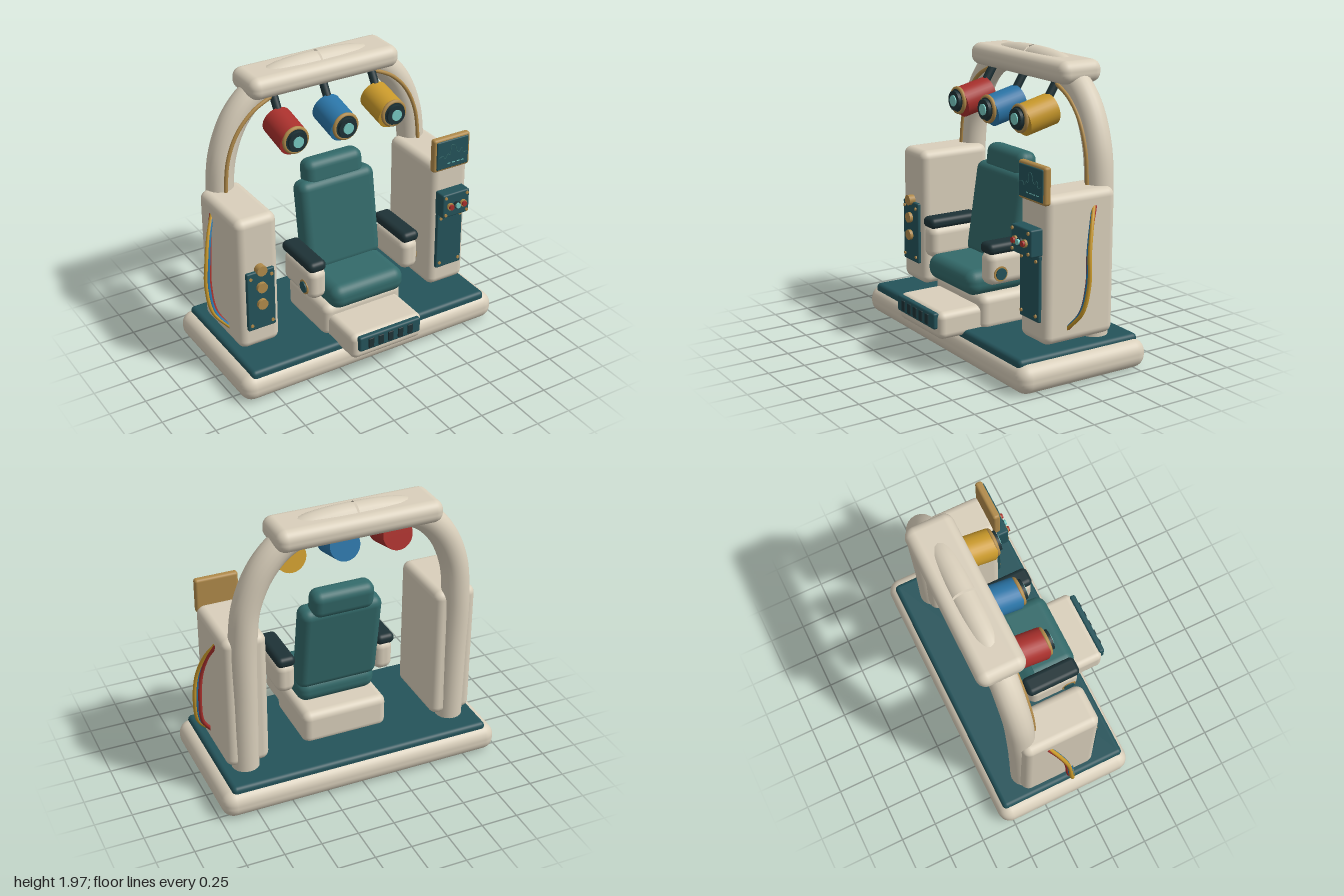
import * as THREE from 'three';
import { RoundedBoxGeometry } from 'three/addons/geometries/RoundedBoxGeometry.js';

const mat = (color, side = THREE.FrontSide) => new THREE.MeshStandardMaterial({ color, side });
const M = {
  cream: mat(0xd9cfbb), creamTube: mat(0xd9cfbb, THREE.DoubleSide),
  teal: mat(0x336a6a), deep: mat(0x24535a), dark: mat(0x1e3236), gold: mat(0xb08a4a),
  red: mat(0xa8302c), blue: mat(0x2a74a6), yellow: mat(0xc8982a), glow: mat(0x76c8c0),
};
const V = (x, y, z) => new THREE.Vector3(x, y, z);

export function createModel() {
  const root = new THREE.Group();

  const add = (name, geo, material, x = 0, y = 0, z = 0, parent = root) => {
    const mesh = new THREE.Mesh(geo, material);
    mesh.name = name;
    mesh.position.set(x, y, z);
    parent.add(mesh);
    return mesh;
  };
  // Rounded box from its extents [min, max] on each axis
  const block = (name, m, [x0, x1], [y0, y1], [z0, z1], r, parent = root) =>
    add(name, new RoundedBoxGeometry(x1 - x0, y1 - y0, z1 - z0, 4, r), m,
      (x0 + x1) / 2, (y0 + y1) / 2, (z0 + z1) / 2, parent);
  // Disc or barrel facing +z
  const disc = (name, m, r, depth, x, y, z, parent = root) =>
    add(name, new THREE.CylinderGeometry(r, r, depth, 32).rotateX(Math.PI / 2), m, x, y, z, parent);
  const ring = (name, m, r, tube, x, y, z, parent = root) =>
    add(name, new THREE.TorusGeometry(r, tube, 12, 40), m, x, y, z, parent);
  const tube = (name, m, points, r, segments = 48, parent = root) =>
    add(name, new THREE.TubeGeometry(new THREE.CatmullRomCurve3(points), segments, r, 20), m, 0, 0, 0, parent);
  const screws = (xs, ys, z) => {
    for (const x of xs) for (const y of ys) disc('screw', M.gold, 0.011, 0.012, x, y, z);
  };

  // Base platform
  block('base', M.cream, [-0.98, 0.98], [0, 0.19], [-0.58, 0.4], 0.085);
  block('deck', M.deep, [-0.91, 0.91], [0.14, 0.22], [-0.54, 0.37], 0.03);

  // Arch halves, trim pipes, cabinets, cables and armrests, mirrored
  const arch = [[0.74, 0.2, -0.31], [0.74, 0.7, -0.32], [0.738, 1.15, -0.335], [0.705, 1.42, -0.34],
    [0.61, 1.64, -0.345], [0.48, 1.78, -0.345], [0.33, 1.85, -0.345], [0.16, 1.875, -0.345], [0.005, 1.88, -0.345]];
  const trim = [[0.74, 1.0, -0.24], [0.738, 1.2, -0.243], [0.71, 1.42, -0.247],
    [0.635, 1.59, -0.25], [0.52, 1.71, -0.252], [0.36, 1.79, -0.255]];
  const cables = [[M.red, 0.075, -0.01], [M.blue, 0.091, 0], [M.yellow, 0.107, 0]];

  for (const s of [-1, 1]) {
    const side = s > 0 ? 'left' : 'right';
    const range = (a, b) => (s > 0 ? [a, b] : [-b, -a]);
    tube(side + 'ArchHalf', M.creamTube, arch.map(([x, y, z]) => V(s * x, y, z)), 0.092, 80);
    tube(side + 'ArchTrim', M.gold, trim.map(([x, y, z]) => V(s * x, y, z)), 0.013);
    block(side + 'Cabinet', M.cream, range(0.585, 0.877), [0.25, 1.2], [-0.37, 0.16], 0.055);

    // Bundle of cables bowing out of the cabinet side
    for (const [m, bow, dz] of cables) {
      tube(side + 'Cable', m, [
        V(s * 0.865, 1.1, -0.2 + dz), V(s * (0.88 + bow * 0.4), 0.99, -0.145 + dz),
        V(s * (0.88 + bow * 0.82), 0.84, -0.1 + dz), V(s * (0.88 + bow), 0.64, -0.085 + dz),
        V(s * (0.88 + bow * 0.75), 0.46, -0.055 + dz), V(s * 0.865, 0.34, -0.01 + dz),
      ], 0.013);
    }

    // Armrest with a round dial on its outer side
    const arm = new THREE.Group();
    arm.name = side + 'Armrest';
    root.add(arm);
    block('armBody', M.cream, range(0.288, 0.42), [0.53, 0.75], [-0.1, 0.268], 0.055, arm);
    block('armPad', M.dark, range(0.292, 0.422), [0.735, 0.81], [-0.115, 0.268], 0.034, arm);
    const dial = new THREE.Group();
    dial.name = 'armDial';
    dial.position.set(s * 0.418, 0.61, 0.185);
    dial.rotation.y = s * Math.PI / 2;
    arm.add(dial);
    disc('dialRim', M.gold, 0.05, 0.012, 0, 0, 0, dial);
    disc('dialFace', M.deep, 0.038, 0.016, 0, 0, 0.006, dial);
  }

  // Top beam
  block('topBeam', M.cream, [-0.55, 0.55], [1.787, 1.935], [-0.505, -0.185], 0.065);

  // Three spotlights on slanted stems
  [[-0.365, M.red], [0, M.blue], [0.365, M.yellow]].forEach(([x, m]) => {
    const lamp = new THREE.Group();
    lamp.name = 'spotlight';
    lamp.position.x = x;
    root.add(lamp);
    const stem = add('stem', new THREE.CylinderGeometry(0.028, 0.028, 0.2, 20), M.dark, 0, 1.73, -0.23, lamp);
    stem.rotation.x = -0.56;
    const barrel = disc('barrel', m, 0.103, 0.226, 0, 1.593, -0.115, lamp);
    barrel.rotation.x = 0.235;
    disc('lensMount', M.dark, 0.08, 0.03, 0, 1.582, 0.01, lamp);
    ring('lensRing', M.gold, 0.08, 0.014, 0, 1.582, 0.012, lamp);
    disc('lensHood', M.dark, 0.066, 0.04, 0, 1.582, 0.027, lamp);
    disc('lens', M.glow, 0.037, 0.012, 0, 1.582, 0.049, lamp);
  });

  // Chair
  block('pedestal', M.cream, [-0.3, 0.3], [0.19, 0.43], [-0.26, 0.247], 0.055);
  block('seat', M.teal, [-0.278, 0.278], [0.425, 0.595], [-0.13, 0.328], 0.075);
  const back = block('backrest', M.teal, [-0.285, 0.285], [0.545, 1.185], [-0.178, -0.022], 0.06);
  back.rotation.x = -0.15;
  const head = block('headrest', M.teal, [-0.217, 0.217], [1.12, 1.312], [-0.242, -0.095], 0.06);
  head.rotation.x = -0.12;

  // Footrest with a row of keys
  block('footrest', M.cream, [-0.27, 0.27], [0.18, 0.362], [0.2, 0.545], 0.045);
  block('footPanel', M.deep, [-0.235, 0.235], [0.252, 0.36], [0.53, 0.572], 0.014);
  for (let i = -2; i <= 2; i++) block('footKey', M.dark, [i * 0.075 - 0.02, i * 0.075 + 0.02], [0.27, 0.34], [0.56, 0.58], 0.005);

  // Right cabinet panel with three knobs
  block('rightPanel', M.deep, [-0.83, -0.63], [0.4, 0.83], [0.15, 0.182], 0.01);
  screws([-0.805, -0.655], [0.44, 0.79], 0.184);
  for (const y of [0.84, 0.715, 0.59]) disc('knob', M.gold, 0.036, 0.05, -0.73, y, 0.18);

  // Left cabinet panel and control box
  block('leftPanel', M.deep, [0.625, 0.83], [0.4, 0.83], [0.15, 0.182], 0.01);
  screws([0.65, 0.805], [0.44, 0.79], 0.184);
  block('controlBox', M.deep, [0.62, 0.835], [0.825, 1.0], [0.15, 0.245], 0.012);
  screws([0.642, 0.813], [0.848, 0.977], 0.247);
  [M.red, M.glow, M.red].forEach((m, i) => {
    const x = 0.676 + i * 0.052;
    disc('buttonRim', i === 1 ? M.dark : M.gold, 0.025, 0.02, x, 0.91, 0.25);
    disc('button', m, 0.018, 0.03, x, 0.91, 0.26);
  });

  // Monitor with a trace line and dashes
  block('monitorFrame', M.gold, [0.585, 0.875], [1.145, 1.385], [0.122, 0.172], 0.018);
  block('monitorScreen', M.deep, [0.605, 0.857], [1.163, 1.368], [0.15, 0.18], 0.008);
  const trace = [[0.62, 1.255], [0.65, 1.262], [0.668, 1.24], [0.69, 1.27], [0.705, 1.26], [0.72, 1.33],
    [0.745, 1.325], [0.76, 1.28], [0.78, 1.265], [0.8, 1.29], [0.815, 1.25], [0.842, 1.258]];
  const line = new THREE.CatmullRomCurve3(trace.map(([x, y]) => V(x, y, 0.18)));
  add('monitorTrace', new THREE.TubeGeometry(line, 60, 0.0025, 6), M.teal);
  for (let i = 0; i < 4; i++) add('monitorDash', new THREE.BoxGeometry(0.022, 0.005, 0.004), M.glow, 0.7 + i * 0.036, 1.2, 0.181);

  return root;
}
